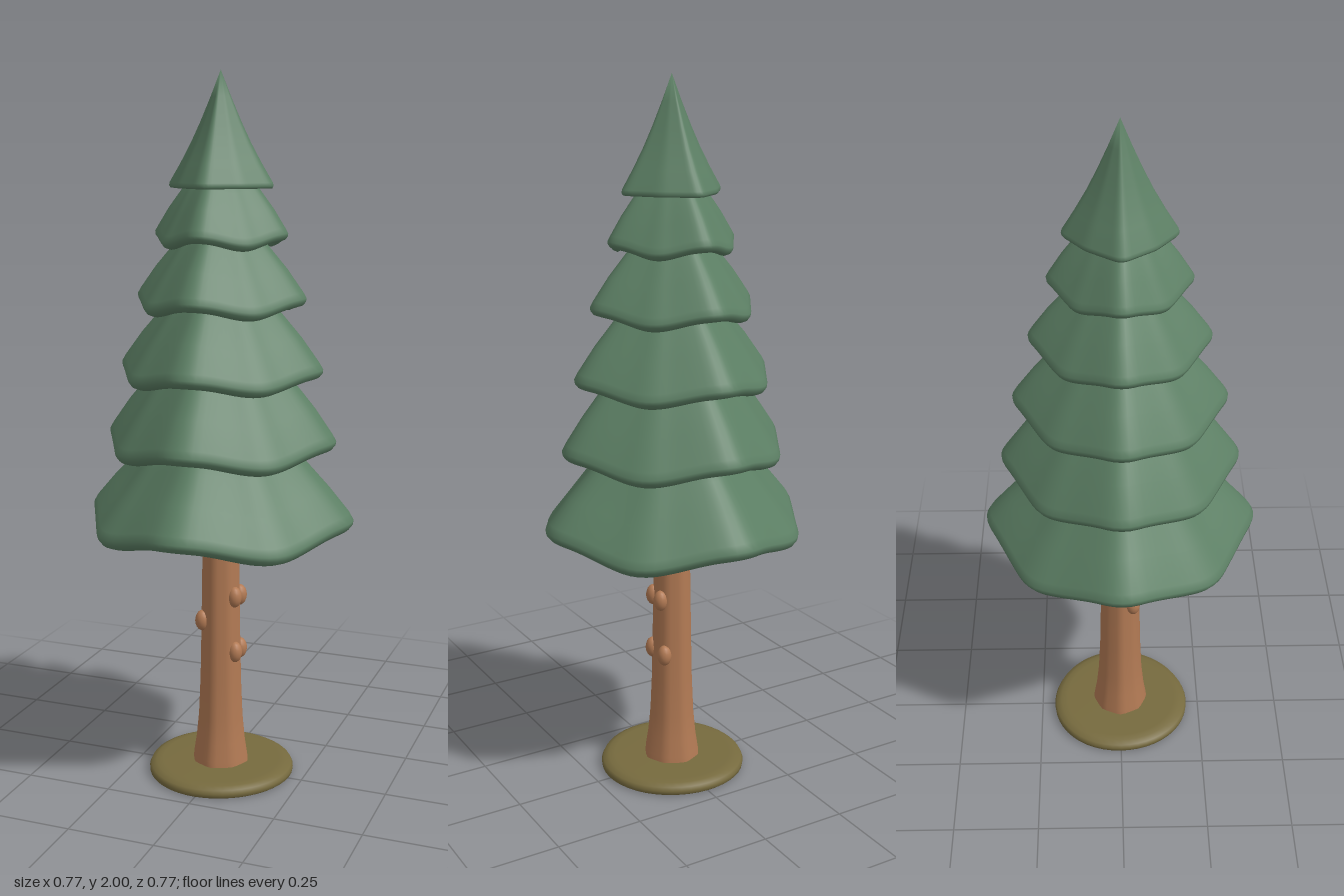
import * as THREE from 'three';
import { mergeVertices } from 'three/addons/utils/BufferGeometryUtils.js';

const V = (x, y) => new THREE.Vector2(x, y);

// Radius factor of an eight-cornered outline: 1 on the axes, d on the diagonals
function chord(a, d) {
  const q = Math.PI / 4;
  a = ((a % (2 * q)) + 2 * q) % (2 * q);
  if (a > q) a = 2 * q - a;
  return (d * Math.sin(q)) / (d * Math.sin(q - a) + Math.sin(a));
}

// The same outline with softened corners
function outline(a, d) {
  let sum = 0;
  for (let i = -4; i <= 4; i++) sum += chord(a + i * 0.03, d);
  return (sum / 9) * 1.015;
}

// Turned profile whose vertices are moved by a rule, with seamless smooth normals
function turned(points, segments, rule) {
  let g = new THREE.LatheGeometry(points, segments);
  g.deleteAttribute('uv');
  g.deleteAttribute('normal');
  const p = g.attributes.position;
  for (let i = 0; i < p.count; i++) {
    const x = p.getX(i), y = p.getY(i), z = p.getZ(i);
    const [k, dy] = rule(Math.atan2(z, x), Math.hypot(x, z), y);
    p.setXYZ(i, x * k, y + dy, z * k);
  }
  g = mergeVertices(g, 1e-5);
  g.computeVertexNormals();
  return g;
}

export function createModel() {
  const tree = new THREE.Group();
  tree.name = 'pineTree';
  const mat = (name, color) => new THREE.MeshStandardMaterial({ name, color });
  const green = mat('needle green', 0x5c7f64);
  const bark = mat('bark brown', 0xb27a54);
  const soil = mat('olive soil', 0x766a3e);
  const add = (name, geometry, material, parent = tree) => {
    const m = new THREE.Mesh(geometry, material);
    m.name = name;
    parent.add(m);
    return m;
  };

  // Ground disc with a soft upper edge
  add('groundDisc', turned([
    V(0, 0), V(0.205, 0), V(0.21, 0.004), V(0.211, 0.014), V(0.206, 0.024),
    V(0.19, 0.031), V(0.17, 0.033), V(0, 0.033),
  ], 48, (a) => [1 + 0.012 * Math.cos(3 * a + 0.5), 0]), soil);

  // Trunk, flared at the foot and slightly eight-sided
  add('trunk', turned([
    V(0.086, 0.02), V(0.083, 0.05), V(0.075, 0.1), V(0.068, 0.17), V(0.063, 0.28),
    V(0.06, 0.42), V(0.057, 0.6), V(0.053, 0.8), V(0.045, 1.1), V(0, 1.12),
  ], 32, (a) => [outline(a, 0.97), 0]), bark);

  // Knots on the trunk: x, y, z
  const knots = new THREE.Group();
  knots.name = 'knots';
  tree.add(knots);
  for (const [x, y, z] of [
    [0.05, 0.54, 0.021], [0.05, 0.535, -0.022], [0.052, 0.375, 0.022],
    [0.046, 0.368, -0.036], [-0.042, 0.465, 0.038],
  ]) {
    const knot = add('knot', new THREE.SphereGeometry(0.021, 14, 10), bark, knots);
    knot.position.set(x, y, z);
    knot.scale.set(1, 1.45, 1);
  }

  // Hollow skirts: hem radius, hem height, droop, shoulder radius and height, diagonal factor
  const skirts = [
    [0.393, 0.76, 0.042, 0.25, 0.95, 0.93],
    [0.34, 0.982, 0.034, 0.215, 1.17, 0.905],
    [0.3, 1.18, 0.028, 0.175, 1.36, 0.89],
    [0.25, 1.375, 0.026, 0.137, 1.54, 0.875],
    [0.196, 1.55, 0.022, 0.112, 1.69, 0.855],
  ];
  skirts.forEach(([R, y, droop, rs, ys, d], i) => {
    const s = 0.45 + 0.55 * (R / 0.393); // lip size
    const apex = ys + rs * 1.15;
    const t = 0.035 * s;
    const profile = [
      V(0, apex - t * 1.5), V(rs - t, ys - t * 0.4), V(R - 0.055 * s, y + 0.035 * s),
      V(R - 0.045 * s, y + 0.01 * s), V(R - 0.03 * s, y), V(R - 0.012 * s, y + 0.006 * s),
      V(R - 0.002 * s, y + 0.018 * s), V(R, y + 0.03 * s), V(R - 0.012 * s, y + 0.05 * s),
      V(R + (rs - R) * 0.5, y + (ys - y) * 0.62), V(rs, ys), V(0, apex),
    ];
    add(`skirt${i + 1}`, turned(profile, 96, (a, r) => [
      outline(a, d), -droop * (0.5 - 0.5 * Math.cos(4 * a)) * Math.min(1, r / (R - 0.055 * s)) ** 2,
    ]), green);
  });

  // Pointed crown with a flat hem
  add('crown', turned([
    V(0, 1.84), V(0.07, 1.76), V(0.125, 1.7), V(0.135, 1.691), V(0.15, 1.69), V(0.154, 1.696),
    V(0.152, 1.705), V(0.12, 1.755), V(0.088, 1.81), V(0.06, 1.865), V(0.03, 1.93), V(0, 2),
  ], 96, (a) => [outline(a, 0.81), 0]), green);

  return tree;
}
